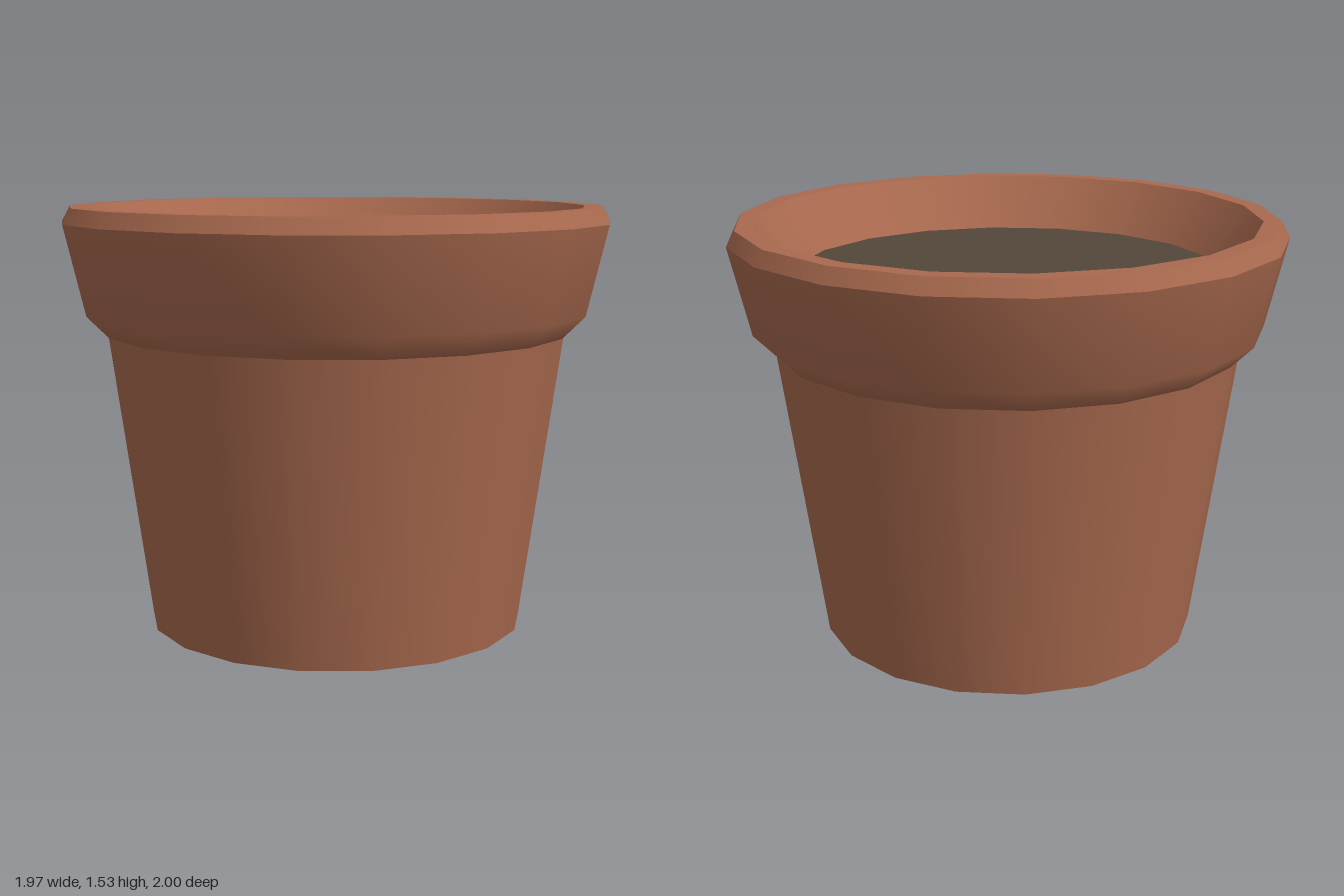
import * as THREE from 'three';

const SIDES = 18;

export function createModel() {
  const group = new THREE.Group();
  const terracotta = new THREE.MeshStandardMaterial({ color: 0xa8694e });
  terracotta.name = 'terracotta';
  const earth = new THREE.MeshStandardMaterial({ color: 0x54473a });
  earth.name = 'darkSoil';

  // Each band is its own lathe: smooth around, sharp where bands meet.
  function band(name, material, profile) {
    const points = profile.map(([r, y]) => new THREE.Vector2(r, y));
    const mesh = new THREE.Mesh(new THREE.LatheGeometry(points, SIDES), material);
    mesh.name = name;
    group.add(mesh);
  }

  // Pot, from the base up the outside and down the inside
  band('base', terracotta, [[0, 0], [0.695, 0]]);
  band('body', terracotta, [[0.695, 0], [0.845, 1.08]]);
  band('collar', terracotta, [[0.845, 1.08], [0.925, 1.16], [1, 1.48]]);
  band('rimBevel', terracotta, [[1, 1.48], [0.97, 1.535]]);
  band('rimTop', terracotta, [[0.97, 1.535], [0.905, 1.535]]);
  band('innerWall', terracotta, [[0.905, 1.535], [0.775, 1.345]]);

  // Soil surface
  band('soil', earth, [[0.775, 1.345], [0, 1.345]]);

  return group;
}
